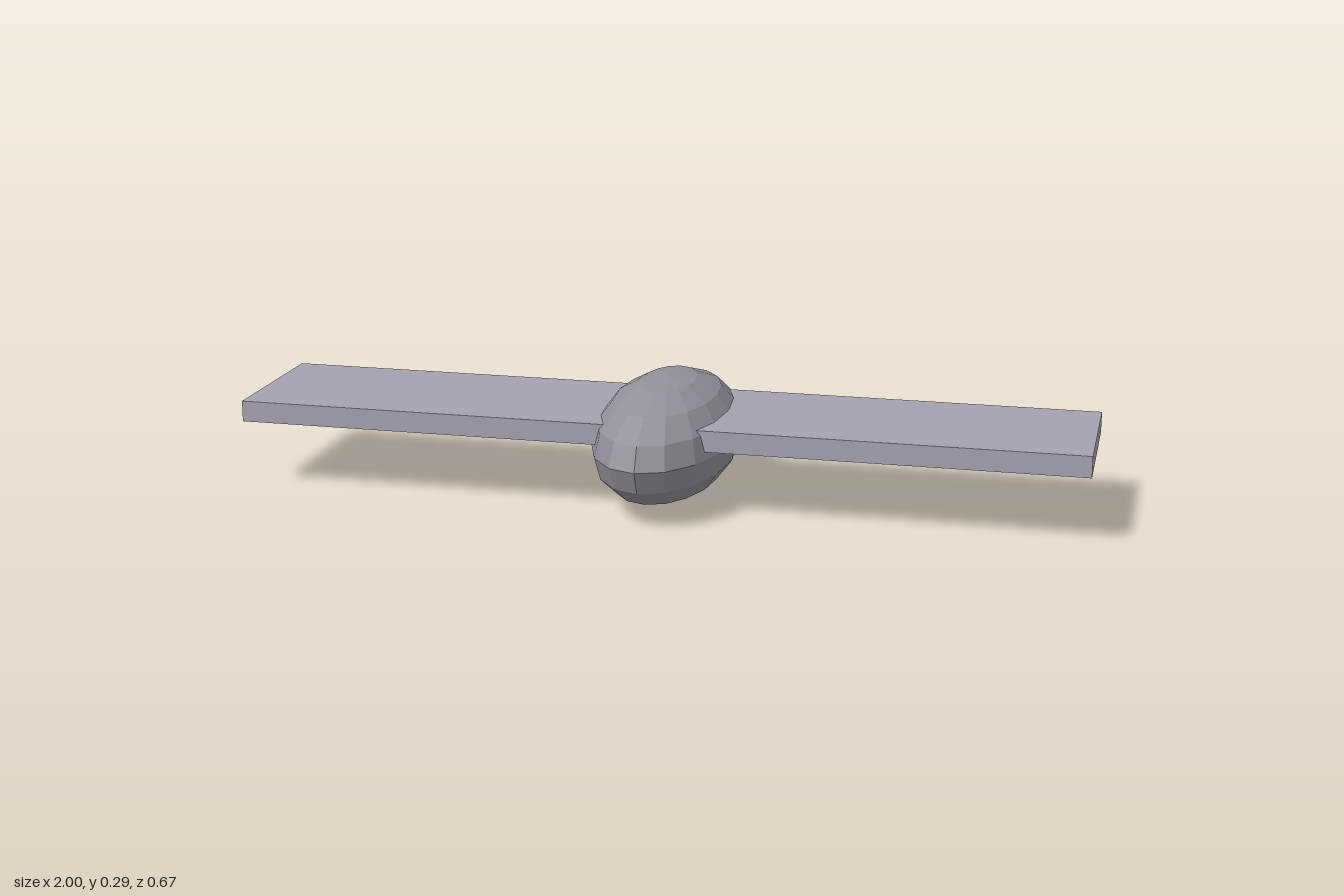
import * as THREE from 'three';

export function createModel() {
  const group = new THREE.Group();
  const addPart = (name, geometry, color, y) => {
    const material = new THREE.MeshStandardMaterial({ color, flatShading: true });
    const mesh = new THREE.Mesh(geometry, material);
    mesh.name = name;
    mesh.position.y = y;
    group.add(mesh);
  };

  // Faceted ellipsoid body, poles pointing up and down
  const hull = new THREE.SphereGeometry(1, 16, 8).scale(0.167, 0.146, 0.333);
  addPart('body', hull, 0x928f98, 0.146);

  // Flat slab wing passing through the body from tip to tip
  addPart('wing', new THREE.BoxGeometry(2, 0.05, 0.375), 0xa4a1af, 0.188);

  return group;
}
